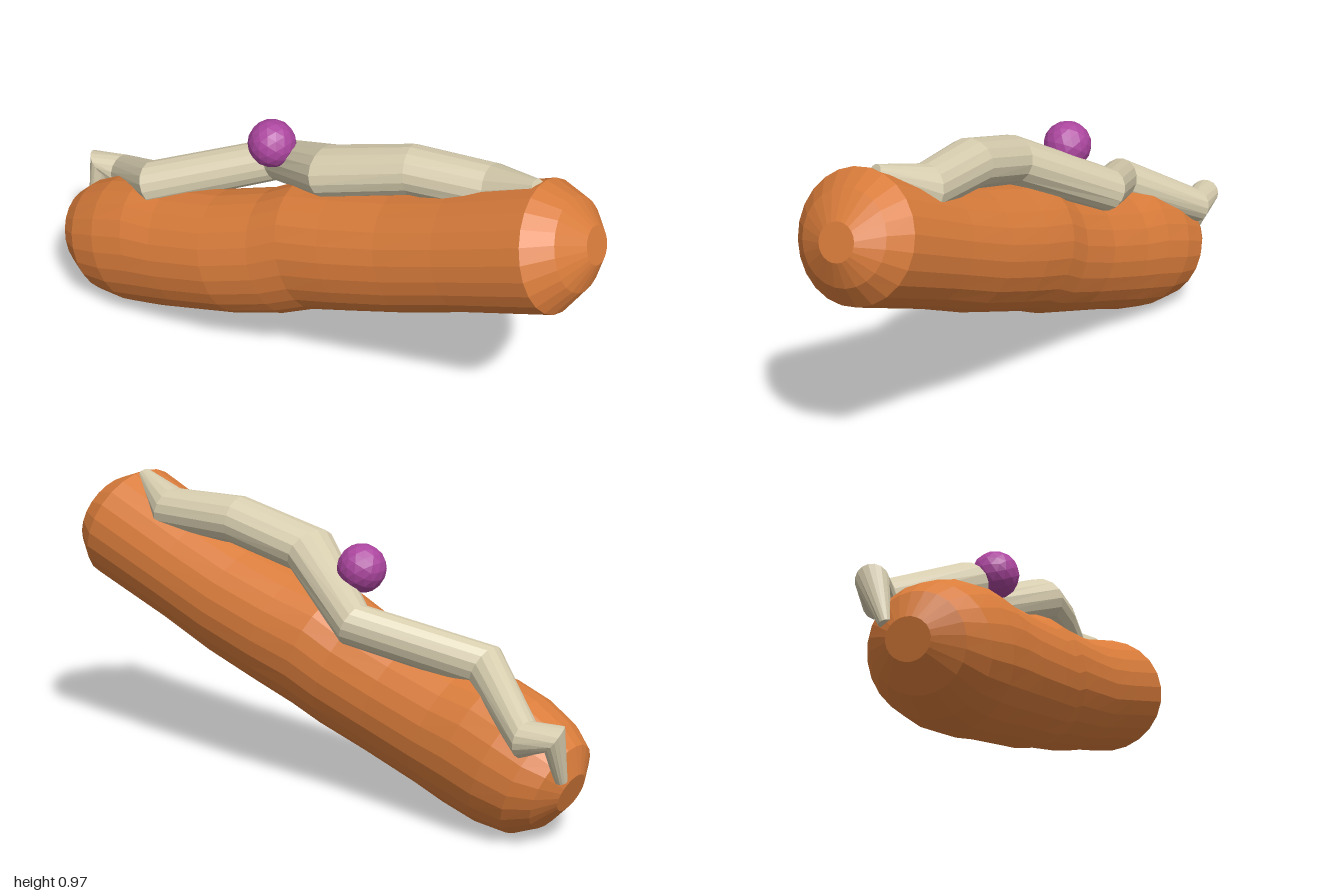
import * as THREE from 'three';

const orange = new THREE.MeshStandardMaterial({ name: 'sausage orange', color: 0xd97c3b, flatShading: true });
const cream = new THREE.MeshStandardMaterial({ name: 'sauce cream', color: 0xd6ccae, flatShading: true });
const purple = new THREE.MeshStandardMaterial({ name: 'ball purple', color: 0xac469f, flatShading: true });

// Closed skin over elliptical rings { c, up, side, ry, rz }
function loft(rings, sides) {
  const pos = [], index = [];
  for (const { c, up, side, ry, rz } of rings) {
    for (let i = 0; i < sides; i++) {
      const a = (i / sides) * Math.PI * 2;
      const p = c.clone().addScaledVector(up, ry * Math.cos(a)).addScaledVector(side, rz * Math.sin(a));
      pos.push(p.x, p.y, p.z);
    }
  }
  const last = (rings.length - 1) * sides;
  const c0 = rings.length * sides, c1 = c0 + 1;
  for (const r of [rings[0], rings[rings.length - 1]]) pos.push(r.c.x, r.c.y, r.c.z);
  for (let i = 0; i < sides; i++) {
    const j = (i + 1) % sides;
    for (let k = 0; k < last; k += sides) {
      index.push(k + i, k + j, k + sides + i, k + j, k + sides + j, k + sides + i);
    }
    index.push(c0, j, i, c1, last + i, last + j);
  }
  const geo = new THREE.BufferGeometry();
  geo.setAttribute('position', new THREE.Float32BufferAttribute(pos, 3));
  geo.setIndex(index);
  geo.computeVertexNormals();
  return geo;
}

// Sausage: stations along a tilted axis
function sausageGeometry() {
  const axis = new THREE.Vector3(0.94, 0.342, 0);
  const up = new THREE.Vector3(-0.342, 0.94, 0);
  const side = new THREE.Vector3(0, 0, 1);
  // distance along, top, bottom, z centre, z radius
  const stations = [
    [-0.83, 0.56, 0.43, -0.01, 0.07],
    [-0.785, 0.635, 0.335, 0, 0.15],
    [-0.713, 0.667, 0.268, 0.005, 0.195],
    [-0.6, 0.687, 0.235, 0.012, 0.212],
    [-0.47, 0.685, 0.222, 0.018, 0.21],
    [-0.35, 0.655, 0.22, 0.024, 0.207],
    [-0.14, 0.635, 0.21, 0.028, 0.203],
    [0.05, 0.635, 0.206, 0.014, 0.198],
    [0.167, 0.655, 0.217, 0, 0.2],
    [0.327, 0.635, 0.216, -0.005, 0.205],
    [0.538, 0.62, 0.214, -0.01, 0.205],
    [0.754, 0.62, 0.225, -0.011, 0.207],
    [1.075, 0.64, 0.228, -0.012, 0.217],
    [1.15, 0.578, 0.285, -0.03, 0.155],
    [1.2, 0.48, 0.36, -0.045, 0.065],
  ];
  return loft(stations.map(([t, top, bottom, z, rz]) => ({
    c: axis.clone().multiplyScalar(t).addScaledVector(up, (top + bottom) / 2).setZ(z),
    up, side, ry: (top - bottom) / 2, rz,
  })), 24);
}

// Zigzag sauce: tube with sharp bends and tapered ends
function sauceGeometry() {
  // x, y, z, radius
  const path = [
    [-0.955, 0.24, -0.08, 0.02],
    [-0.955, 0.385, -0.125, 0.05],
    [-0.865, 0.37, -0.143, 0.06],
    [-0.605, 0.51, 0.023, 0.075],
    [-0.235, 0.625, -0.168, 0.071],
    [0.075, 0.785, 0.003, 0.1],
    [0.35, 0.86, -0.042, 0.086],
    [0.62, 0.865, -0.078, 0.078],
    [0.785, 0.955, -0.028, 0.026],
  ];
  const pts = path.map(([x, y, z]) => new THREE.Vector3(x, y, z));
  const step = (i) => pts[i + 1].clone().sub(pts[i]).normalize();
  const rings = pts.map((c, i) => {
    const tangent = new THREE.Vector3();
    if (i > 0) tangent.add(step(i - 1));
    if (i < pts.length - 1) tangent.add(step(i));
    tangent.normalize();
    const side = new THREE.Vector3(0, 0, 1).addScaledVector(tangent, -tangent.z).normalize();
    const up = side.clone().cross(tangent);
    return { c, up, side, ry: Math.min(path[i][3], 0.08), rz: path[i][3] };
  });
  return loft(rings, 16);
}

export function createModel() {
  const model = new THREE.Group();
  model.name = 'sausageWithSauce';
  const add = (name, geometry, material) => {
    const mesh = new THREE.Mesh(geometry, material);
    mesh.name = name;
    model.add(mesh);
    return mesh;
  };
  add('sausage', sausageGeometry(), orange);
  add('sauce', sauceGeometry(), cream);
  add('ball', new THREE.IcosahedronGeometry(0.08, 2), purple).position.set(-0.175, 0.775, -0.05);
  return model;
}
